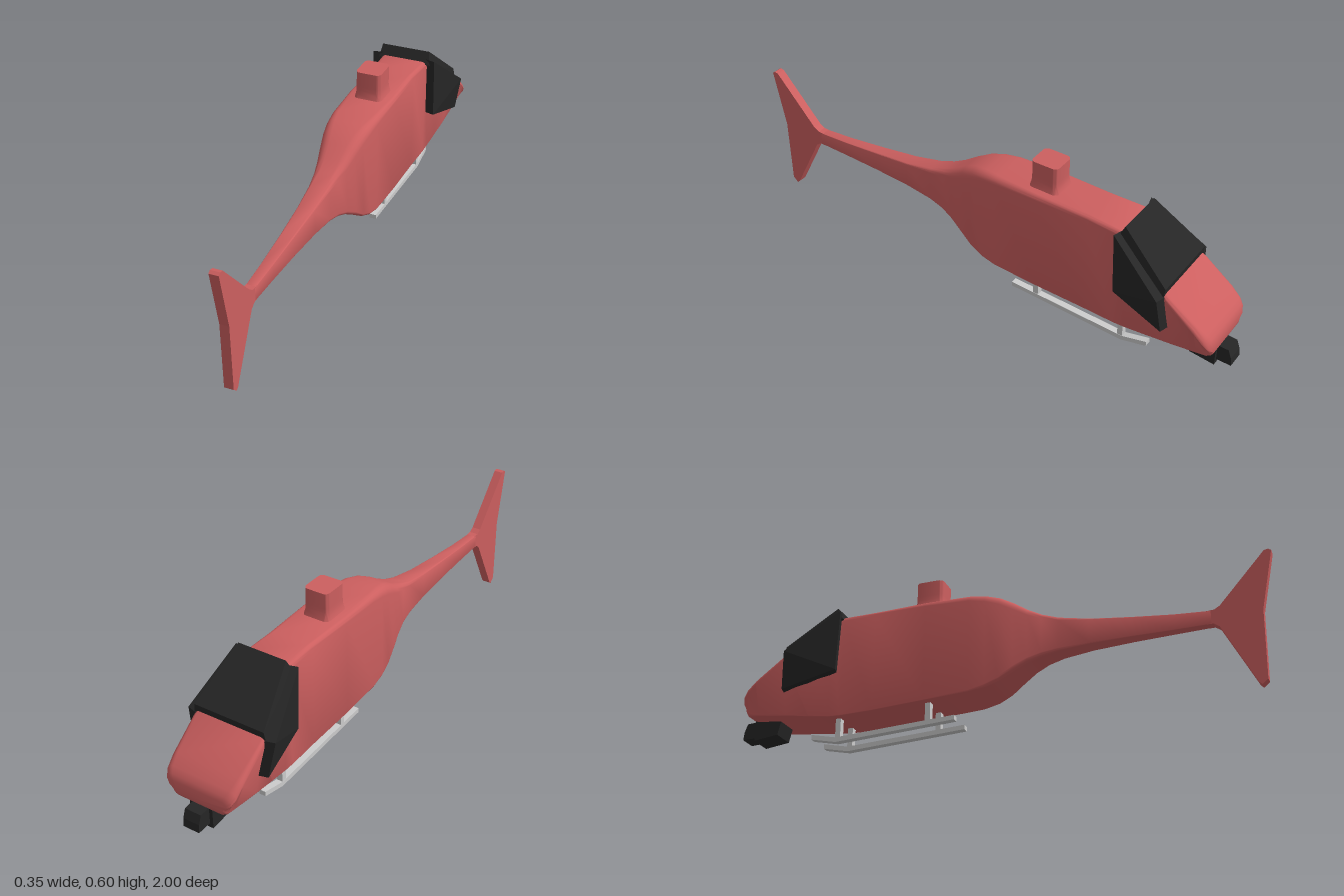
import * as THREE from 'three';
import { toCreasedNormals } from 'three/addons/utils/BufferGeometryUtils.js';
import { ConvexGeometry } from 'three/addons/geometries/ConvexGeometry.js';

const red = new THREE.MeshStandardMaterial({ color: 0xcc5f5f });
const black = new THREE.MeshStandardMaterial({ color: 0x262626 });
const grey = new THREE.MeshStandardMaterial({ color: 0xcccccc });

// Outline given as [z, y], extruded sideways and centred on x
function sideProfile(points, width) {
  const shape = new THREE.Shape(points.map(([z, y]) => new THREE.Vector2(-z, y)));
  const geometry = new THREE.ExtrudeGeometry(shape, { depth: width, bevelEnabled: false });
  return geometry.translate(0, 0, -width / 2).rotateY(Math.PI / 2);
}

function roundedSquare(half, r) {
  const s = new THREE.Shape();
  const k = half - r;
  [[k, k, 0], [-k, k, 1], [-k, -k, 2], [k, -k, 3]].forEach(([x, y, q]) =>
    s.absarc(x, y, r, q * Math.PI / 2, (q + 1) * Math.PI / 2, false));
  return s;
}

// One ring of a rounded trapezoid, counterclockwise seen from +z
function ring([z, bottom, top, wBottom, wTop, rBottom, rTop], steps = 5) {
  const corners = [[1, wBottom, bottom, rBottom, 3], [1, wTop, top, rTop, 0],
    [-1, wTop, top, rTop, 1], [-1, wBottom, bottom, rBottom, 2]];
  const points = [];
  for (const [side, w, y, r, quarter] of corners) {
    const cx = side * (w - r);
    const cy = y + (quarter >= 2 ? r : -r);
    for (let i = 0; i <= steps; i++) {
      const a = (quarter + i / steps) * Math.PI / 2;
      points.push([cx + r * Math.cos(a), cy + r * Math.sin(a), z]);
    }
  }
  return points;
}

function loft(sections) {
  const rings = sections.map((s) => ring(s));
  const n = rings[0].length;
  const index = [];
  for (let i = 0; i < rings.length - 1; i++) {
    for (let j = 0; j < n; j++) {
      const a = i * n + j, b = i * n + (j + 1) % n;
      index.push(a, b, b + n, a, b + n, a + n);
    }
  }
  const last = (rings.length - 1) * n;
  for (let j = 1; j < n - 1; j++) {
    index.push(0, j + 1, j, last, last + j, last + j + 1);
  }
  const geometry = new THREE.BufferGeometry();
  geometry.setAttribute('position', new THREE.Float32BufferAttribute(rings.flat(2), 3));
  geometry.setIndex(index);
  return toCreasedNormals(geometry, 0.6);
}

export function createModel() {
  const model = new THREE.Group();
  const add = (name, geometry, material) => {
    const mesh = new THREE.Mesh(geometry, material);
    mesh.name = name;
    model.add(mesh);
    return mesh;
  };

  // Fuselage and tail boom: z, bottom, top, half widths, corner radii (bottom, top)
  add('fuselage', loft([
    [-0.957, 0.150, 0.195, 0.100, 0.115, 0.015, 0.020],
    [-0.950, 0.137, 0.214, 0.105, 0.130, 0.020, 0.025],
    [-0.935, 0.130, 0.232, 0.105, 0.138, 0.015, 0.025],
    [-0.900, 0.126, 0.262, 0.104, 0.141, 0.012, 0.022],
    [-0.790, 0.113, 0.342, 0.100, 0.141, 0.006, 0.018],
    [-0.700, 0.101, 0.405, 0.095, 0.122, 0.004, 0.018],
    [-0.620, 0.091, 0.460, 0.091, 0.100, 0.003, 0.018],
    [-0.575, 0.089, 0.487, 0.090, 0.090, 0.003, 0.018],
    [-0.450, 0.093, 0.490, 0.088, 0.086, 0.003, 0.018],
    [-0.250, 0.102, 0.494, 0.091, 0.090, 0.004, 0.020],
    [-0.080, 0.111, 0.494, 0.090, 0.088, 0.006, 0.026],
    [-0.020, 0.122, 0.489, 0.087, 0.084, 0.010, 0.032],
    [0.030, 0.143, 0.477, 0.082, 0.077, 0.014, 0.036],
    [0.080, 0.176, 0.452, 0.073, 0.067, 0.016, 0.036],
    [0.130, 0.206, 0.420, 0.061, 0.056, 0.015, 0.030],
    [0.180, 0.226, 0.395, 0.050, 0.046, 0.013, 0.022],
    [0.240, 0.240, 0.374, 0.042, 0.039, 0.010, 0.015],
    [0.350, 0.252, 0.352, 0.034, 0.032, 0.006, 0.009],
    [0.500, 0.258, 0.335, 0.026, 0.025, 0.004, 0.005],
    [0.650, 0.261, 0.321, 0.020, 0.020, 0.003, 0.003],
    [0.820, 0.265, 0.312, 0.016, 0.016, 0.002, 0.002],
  ]), red);

  // Swept tail fin, above and below the boom
  add('tailFin', sideProfile([
    [0.76, 0.314], [0.79, 0.316], [0.81, 0.328], [0.975, 0.512], [0.99, 0.515],
    [1.0, 0.508], [0.955, 0.29], [0.95, 0.037], [0.93, 0.019], [0.92, 0.028],
    [0.805, 0.25], [0.785, 0.264], [0.76, 0.264],
  ], 0.034), red);

  // Rotor mast housing with a flared foot
  const mast = new THREE.ExtrudeGeometry(roundedSquare(0.05, 0.018), {
    depth: 0.116, steps: 8, bevelEnabled: false, curveSegments: 5,
  });
  const p = mast.attributes.position;
  for (let i = 0; i < p.count; i++) {
    const flare = 1 + 0.22 * Math.max(0, 1 - p.getZ(i) / 0.05) ** 2;
    p.setXY(i, p.getX(i) * flare * 0.96, p.getY(i) * flare * 1.05);
  }
  mast.rotateX(-Math.PI / 2).translate(0, 0.48, -0.252);
  add('rotorMast', toCreasedNormals(mast, 0.6), red);

  // Canopy roof and side panels, as slabs between corner points
  const slab = (corners) => new ConvexGeometry(corners.map((c) => new THREE.Vector3(...c)));
  const roof = [[0.095, 0.522, -0.6], [0.103, 0.475, -0.577],
    [0.138, 0.372, -0.784], [0.143, 0.335, -0.78]];
  add('canopyRoof', slab(roof.flatMap(([x, y, z]) => [[x, y, z], [-x, y, z]])), black);
  const sidePanel = [[0.125, 0.495, -0.575], [0.175, 0.34, -0.773],
    [0.15, 0.2, -0.785], [0.125, 0.26, -0.585]];
  for (const side of [1, -1]) {
    add(side > 0 ? 'leftCanopyPanel' : 'rightCanopyPanel', slab(sidePanel.flatMap(
      ([x, y, z]) => [[side * x, y, z], [side * (x - 0.036), y, z - 0.01]])), black);
  }

  // Sensor pod under the nose
  add('sensorPod', sideProfile(
    [[-0.835, 0.128], [-0.85, 0.068], [-0.945, 0.056], [-0.945, 0.137]], 0.09), black);
  add('sensorHead', sideProfile(
    [[-0.94, 0.135], [-0.94, 0.072], [-1, 0.07], [-0.997, 0.1], [-0.985, 0.132]], 0.064), black);

  // Landing skids, each on two struts
  for (const side of [1, -1]) {
    const label = side > 0 ? 'left' : 'right';
    const x = side * 0.05;
    add(label + 'Skid', sideProfile([
      [-0.14, 0.042], [-0.14, 0.025], [-0.6, 0.0], [-0.697, 0.022],
      [-0.697, 0.04], [-0.6, 0.018]], 0.025), grey).position.x = x;
    for (const [end, z, low, high] of [['Front', -0.592, 0.012, 0.1], ['Rear', -0.242, 0.03, 0.115]]) {
      add(label + end + 'Strut', new THREE.BoxGeometry(0.024, high - low, 0.02), grey)
        .position.set(x, (low + high) / 2, z);
    }
  }

  return model;
}
